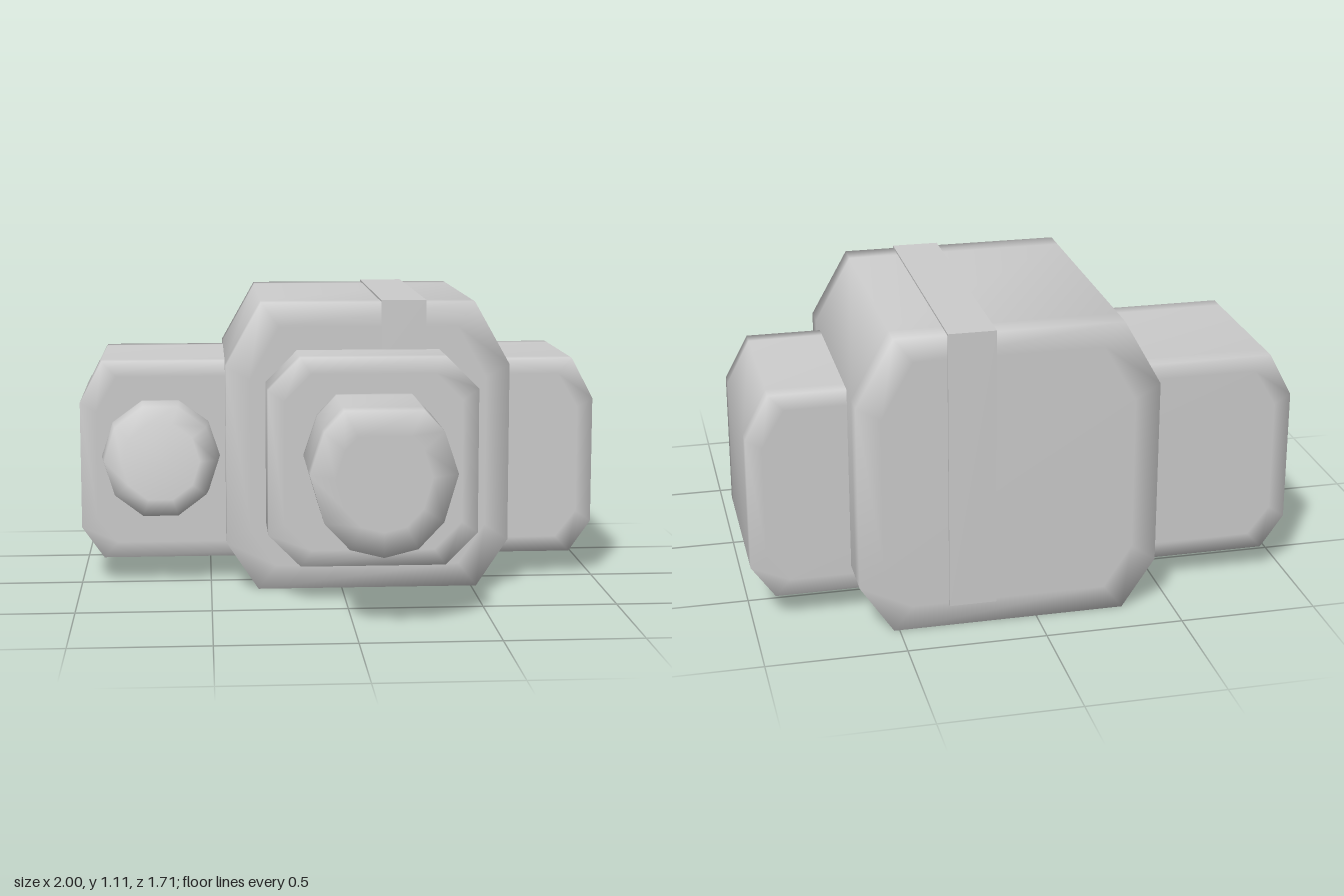
import * as THREE from 'three';

const material = new THREE.MeshStandardMaterial({ color: 0xcccccc });

function addMesh(group, name, geometry) {
  const mesh = new THREE.Mesh(geometry, material);
  mesh.name = name;
  group.add(mesh);
}

// Smooth-shaded solid through rings of [x, y, z] points, capped at both ends
function loft(rings) {
  const n = rings[0].length;
  const points = rings.flat();
  const index = [];
  for (let i = 0; i < rings.length - 1; i++) {
    for (let j = 0; j < n; j++) {
      const a = i * n + j, b = i * n + (j + 1) % n;
      index.push(a, b, b + n, a, b + n, a + n);
    }
  }
  const capCentre = (ring) => [0, 1, 2].map((k) => ring.reduce((s, p) => s + p[k], 0) / n);
  const back = points.length, front = back + 1, last = (rings.length - 1) * n;
  points.push(capCentre(rings[0]), capCentre(rings[rings.length - 1]));
  for (let j = 0; j < n; j++) {
    const k = (j + 1) % n;
    index.push(back, k, j, front, last + j, last + k);
  }
  const geometry = new THREE.BufferGeometry();
  geometry.setAttribute('position', new THREE.Float32BufferAttribute(points.flat(), 3));
  geometry.setIndex(index);
  geometry.computeVertexNormals();
  return geometry;
}

// Prism along z with support loops near its rims, so only the edges look soft
function softPrism(outline, z0, z1, d) {
  const xs = outline.map((p) => p[0]), ys = outline.map((p) => p[1]);
  const x0 = Math.min(...xs), x1 = Math.max(...xs);
  const y0 = Math.min(...ys), y1 = Math.max(...ys);
  const cx = (x0 + x1) / 2, cy = (y0 + y1) / 2;
  const ring = (z, inset) => outline.map(([x, y]) => [
    cx + (x - cx) * (1 - 2 * inset / (x1 - x0)),
    cy + (y - cy) * (1 - 2 * inset / (y1 - y0)),
    z,
  ]);
  return loft([ring(z0, d), ring(z0, 0), ring(z0 + d, 0), ring(z1 - d, 0), ring(z1, 0), ring(z1, d)]);
}

// Rectangle with cut corners: top cuts (tx, ty), bottom cuts (bx, by)
function cutRectangle(x0, x1, y0, y1, tx, ty, bx = tx, by = ty) {
  return [
    [x0 + bx, y0], [x1 - bx, y0], [x1, y0 + by], [x1, y1 - ty],
    [x1 - tx, y1], [x0 + tx, y1], [x0, y1 - ty], [x0, y0 + by],
  ];
}

export function createModel() {
  const model = new THREE.Group();
  model.name = 'device';

  // Main housing and the wider block running through it
  addMesh(model, 'mainHousing', softPrism(
    cutRectangle(-0.44, 0.64, 0, 1.1, 0.135, 0.24, 0.12, 0.18), -0.845, 0.16, 0.09));
  addMesh(model, 'sideBlocks', softPrism(
    cutRectangle(-1, 1, 0.09, 0.86, 0.085, 0.16, 0.085, 0.12), -0.66, -0.035, 0.06));

  // Front plate and main barrel, a twelve-sided shape with its top cut flat
  addMesh(model, 'frontPlate', softPrism(
    cutRectangle(-0.29, 0.49, 0.14, 0.92, 0.12, 0.12), 0.1, 0.41, 0.06));
  const half = [[0.12, 0.295], [0.21, 0.39], [0.26, 0.56], [0.21, 0.71], [0.14, 0.785]];
  const barrel = [
    [0.1, 0.265],
    ...half.map(([x, y]) => [0.1 + x, y]),
    ...half.map(([x, y]) => [0.1 - x, y]).reverse(),
  ];
  addMesh(model, 'mainBarrel', softPrism(barrel, 0.35, 0.85, 0.09));

  // Small ten-sided knob whose front leans upward
  const knobRing = (radius, z, lean) => Array.from({ length: 10 }, (_, i) => {
    const a = i * Math.PI / 5;
    const dy = radius * Math.sin(a);
    return [-0.69 + radius * Math.cos(a), 0.49 + dy, z - lean * dy];
  });
  addMesh(model, 'sideKnob', loft([
    knobRing(0.23, -0.1, 0), knobRing(0.228, -0.02, 0),
    knobRing(0.215, 0.095, 0.19), knobRing(0.15, 0.11, 0.19),
  ]));

  // Thin strap over the top, down the back and behind the front plate
  const t = 0.03;
  const strap = new THREE.Shape([
    [0.167, 0.88], [0.167, 1.107], [-0.855, 1.107], [-0.855, 0.08],
    [-0.855 + t, 0.08], [-0.855 + t, 1.107 - t], [0.167 - t, 1.107 - t], [0.167 - t, 0.88],
  ].map(([z, y]) => new THREE.Vector2(z, y)));
  const strapGeometry = new THREE.ExtrudeGeometry(strap, { depth: 0.17, bevelEnabled: false });
  strapGeometry.rotateY(-Math.PI / 2).translate(0.32, 0, 0);
  addMesh(model, 'strap', strapGeometry);

  return model;
}
